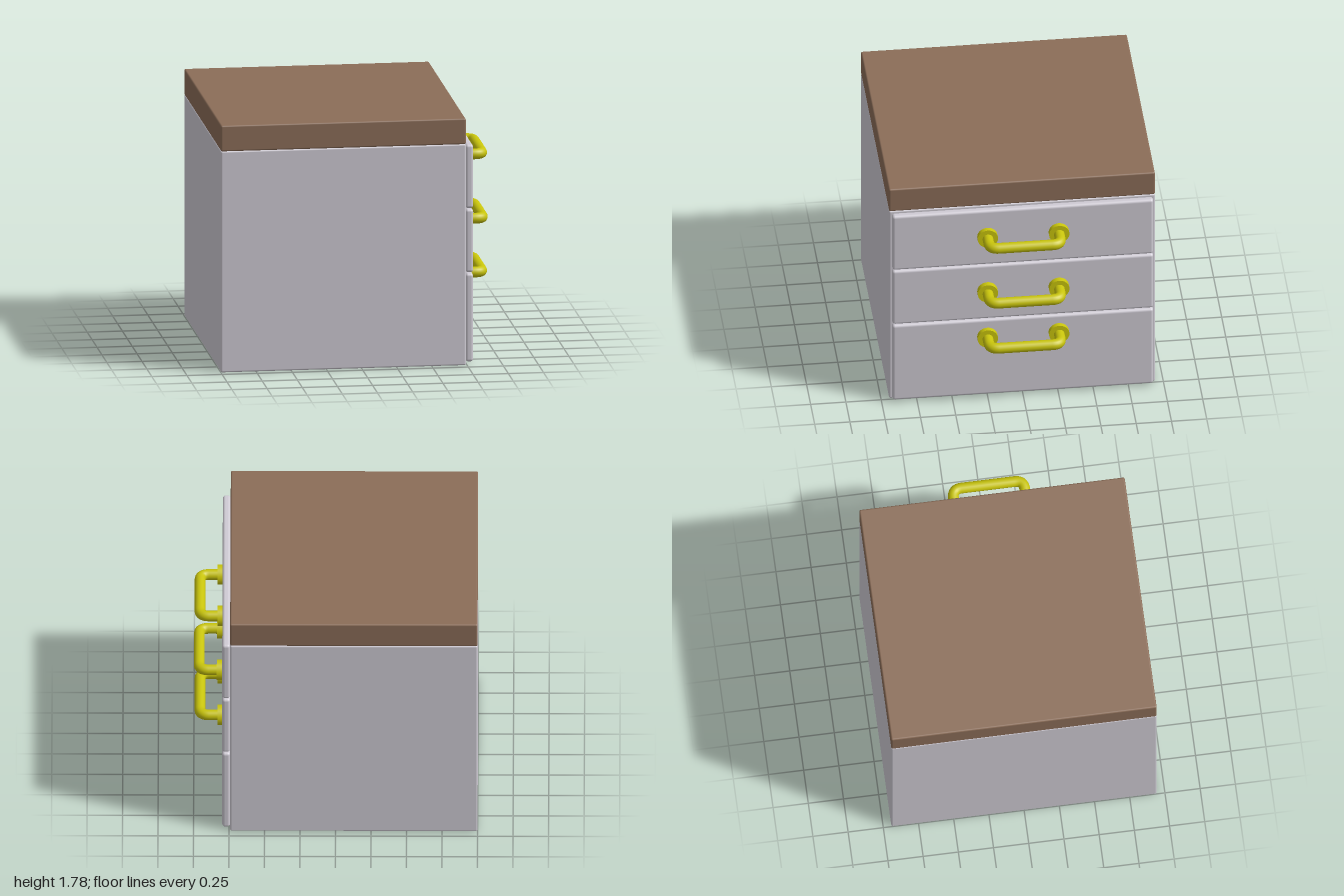
import * as THREE from 'three';
import { RoundedBoxGeometry } from 'three/addons/geometries/RoundedBoxGeometry.js';

const paint = new THREE.MeshStandardMaterial({ color: 0xcfcbd4 });
const wood = new THREE.MeshStandardMaterial({ color: 0x8b6d58 });
const brass = new THREE.MeshStandardMaterial({ color: 0xc8c40c });

// Rounded block given by its x and y extents and its depth in z
function block(name, x0, x1, y0, y1, depth, radius, material) {
  const geometry = new RoundedBoxGeometry(x1 - x0, y1 - y0, depth, 3, radius);
  const mesh = new THREE.Mesh(geometry, material);
  mesh.position.set((x0 + x1) / 2, (y0 + y1) / 2, 0);
  mesh.name = name;
  return mesh;
}

// Bent bar with a round flange at each foot; origin on the drawer face
function createHandle() {
  const handle = new THREE.Group();
  handle.name = 'handle';
  const reach = 0.162, half = 0.253, bend = 0.065;
  const v = (x, z) => new THREE.Vector3(x, 0, z);

  const path = new THREE.CurvePath();
  path.add(new THREE.LineCurve3(v(0, half), v(reach - bend, half)));
  path.add(new THREE.QuadraticBezierCurve3(v(reach - bend, half), v(reach, half), v(reach, half - bend)));
  path.add(new THREE.LineCurve3(v(reach, half - bend), v(reach, bend - half)));
  path.add(new THREE.QuadraticBezierCurve3(v(reach, bend - half), v(reach, -half), v(reach - bend, -half)));
  path.add(new THREE.LineCurve3(v(reach - bend, -half), v(0, -half)));
  const bar = new THREE.Mesh(new THREE.TubeGeometry(path, 96, 0.038, 20), brass);
  bar.name = 'handleBar';
  handle.add(bar);

  for (const side of [1, -1]) {
    const flange = new THREE.Mesh(new THREE.CylinderGeometry(0.072, 0.072, 0.046, 32), brass);
    flange.rotation.z = -Math.PI / 2;
    flange.position.set(0.015, 0, side * half);
    flange.name = 'handleFlange';
    handle.add(flange);
  }
  return handle;
}

export function createModel() {
  const model = new THREE.Group();
  model.name = 'drawerCabinet';

  // Carcass and worktop
  model.add(block('cabinetBody', -1, 0.742, 0, 1.595, 1.885, 0.012, paint));
  model.add(block('worktop', -1, 0.742, 1.593, 1.78, 1.885, 0.012, wood));

  // Drawer fronts: bottom, top, handle height and handle foot x
  const drawers = [
    [0.02, 0.656, 0.517, 0.795],
    [0.664, 1.12, 0.905, 0.8],
    [1.126, 1.585, 1.369, 0.795],
  ];
  for (const [y0, y1, handleY, handleX] of drawers) {
    const drawer = new THREE.Group();
    drawer.name = 'drawer';
    drawer.add(block('drawerFront', 0.742, 0.798, y0, y1, 1.85, 0.02, paint));
    const handle = createHandle();
    handle.position.set(handleX, handleY, 0);
    drawer.add(handle);
    model.add(drawer);
  }
  return model;
}
